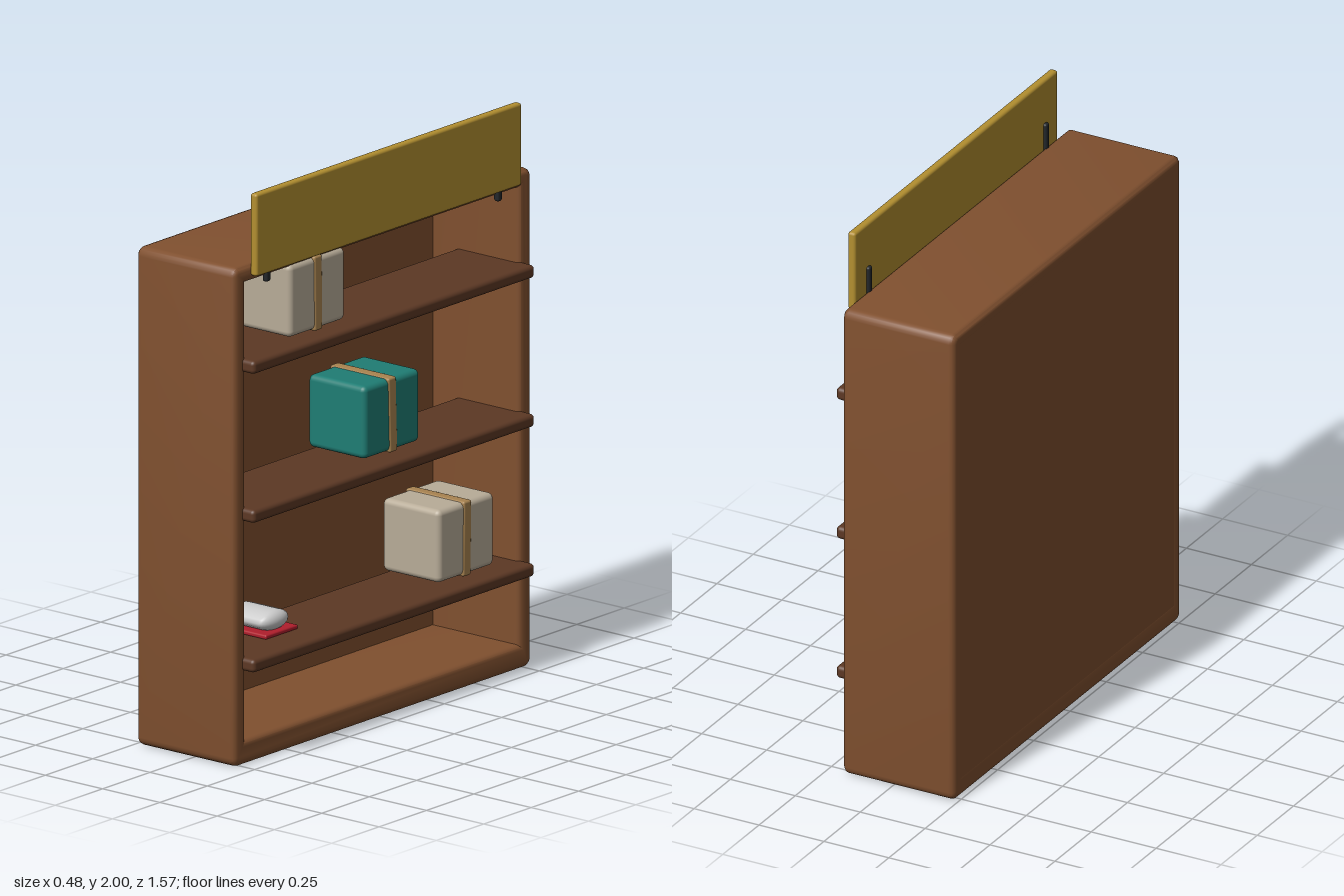
import * as THREE from 'three';
import { toCreasedNormals } from 'three/addons/utils/BufferGeometryUtils.js';
import { RoundedBoxGeometry } from 'three/addons/geometries/RoundedBoxGeometry.js';

const paint = (color) => new THREE.MeshStandardMaterial({ color });
const wood = paint(0x80502f);
const darkWood = paint(0x5c3824);
const gold = paint(0xb38f30);
const iron = paint(0x22262a);
const ribbon = paint(0xa88350);
const cream = paint(0xb8ac98);
const teal = paint(0x1f7d74);
const white = paint(0xd6d6d4);
const red = paint(0xb01e2c);

function add(parent, name, geometry, material, x = 0, y = 0, z = 0) {
  const mesh = new THREE.Mesh(geometry, material);
  mesh.name = name;
  mesh.position.set(x, y, z);
  parent.add(mesh);
  return mesh;
}

// Rounded rectangle outline, used for the frame and its opening
function roundedRect(path, x0, y0, x1, y1, r) {
  path.moveTo(x0 + r, y0);
  path.lineTo(x1 - r, y0);
  path.quadraticCurveTo(x1, y0, x1, y0 + r);
  path.lineTo(x1, y1 - r);
  path.quadraticCurveTo(x1, y1, x1 - r, y1);
  path.lineTo(x0 + r, y1);
  path.quadraticCurveTo(x0, y1, x0, y1 - r);
  path.lineTo(x0, y0 + r);
  path.quadraticCurveTo(x0, y0, x0 + r, y0);
  return path;
}

// Bevelled cabinet shell, open towards +x
function frameGeometry() {
  const bevel = 0.02;
  const shape = roundedRect(new THREE.Shape(), -0.765, bevel, 0.765, 1.73, 0.012);
  const hole = new THREE.Path();
  hole.moveTo(-0.74, 0.065);
  hole.lineTo(-0.74, 1.71);
  hole.lineTo(0.74, 1.71);
  hole.lineTo(0.74, 0.065);
  hole.closePath();
  shape.holes.push(hole);
  const geometry = new THREE.ExtrudeGeometry(shape, {
    depth: 0.43 - 2 * bevel, bevelEnabled: true, bevelSize: bevel,
    bevelThickness: bevel, bevelSegments: 3, curveSegments: 4,
  });
  geometry.translate(0, 0, -0.24 + bevel);
  geometry.rotateY(Math.PI / 2);
  return toCreasedNormals(geometry, 0.6);
}

// Wrapped box with one ribbon round it
function parcel(name, material, y, z, tilt) {
  const group = new THREE.Group();
  group.name = name;
  add(group, 'parcelBox', new RoundedBoxGeometry(0.25, 0.255, 0.295, 3, 0.02), material);
  const band = add(group, 'parcelRibbon', new RoundedBoxGeometry(0.258, 0.263, 0.042, 2, 0.008), ribbon);
  band.rotation.x = tilt;
  group.position.set(0.07, y, z);
  return group;
}

export function createModel() {
  const model = new THREE.Group();
  model.name = 'shelfUnit';

  // Cabinet
  add(model, 'cabinetFrame', frameGeometry(), wood);
  add(model, 'backPanel', new THREE.BoxGeometry(0.049, 1.69, 1.5), wood, -0.2145, 0.885, 0);

  // Shelves, standing proud of the front and clear of the back
  for (const y of [0.355, 0.88, 1.403]) {
    add(model, 'shelf', new RoundedBoxGeometry(0.33, 0.046, 1.485, 3, 0.015), darkWood, 0.075, y, 0);
  }

  // Header board and its two brackets
  add(model, 'headerBoard', new RoundedBoxGeometry(0.03, 0.29, 1.4, 2, 0.01), gold, 0.202, 1.855, 0);
  for (const z of [-0.61, 0.61]) {
    add(model, 'headerBracket', new RoundedBoxGeometry(0.022, 0.17, 0.024, 2, 0.008), iron, 0.186, 1.755, z);
  }

  // Parcels
  model.add(parcel('topParcel', cream, 1.571, 0.35, 0.01));
  model.add(parcel('middleParcel', teal, 1.053, -0.043, 0.03));
  model.add(parcel('lowerParcel', cream, 0.528, -0.435, -0.015));

  // Small rounded item on a thin base
  add(model, 'itemBase', new RoundedBoxGeometry(0.22, 0.016, 0.17, 2, 0.006), red, 0.005, 0.385, 0.442);
  const body = new THREE.CapsuleGeometry(0.035, 0.13, 6, 16);
  body.rotateZ(Math.PI / 2);
  body.scale(1, 1, 2.1);
  add(model, 'itemBody', body, white, 0.005, 0.421, 0.44);

  return model;
}
